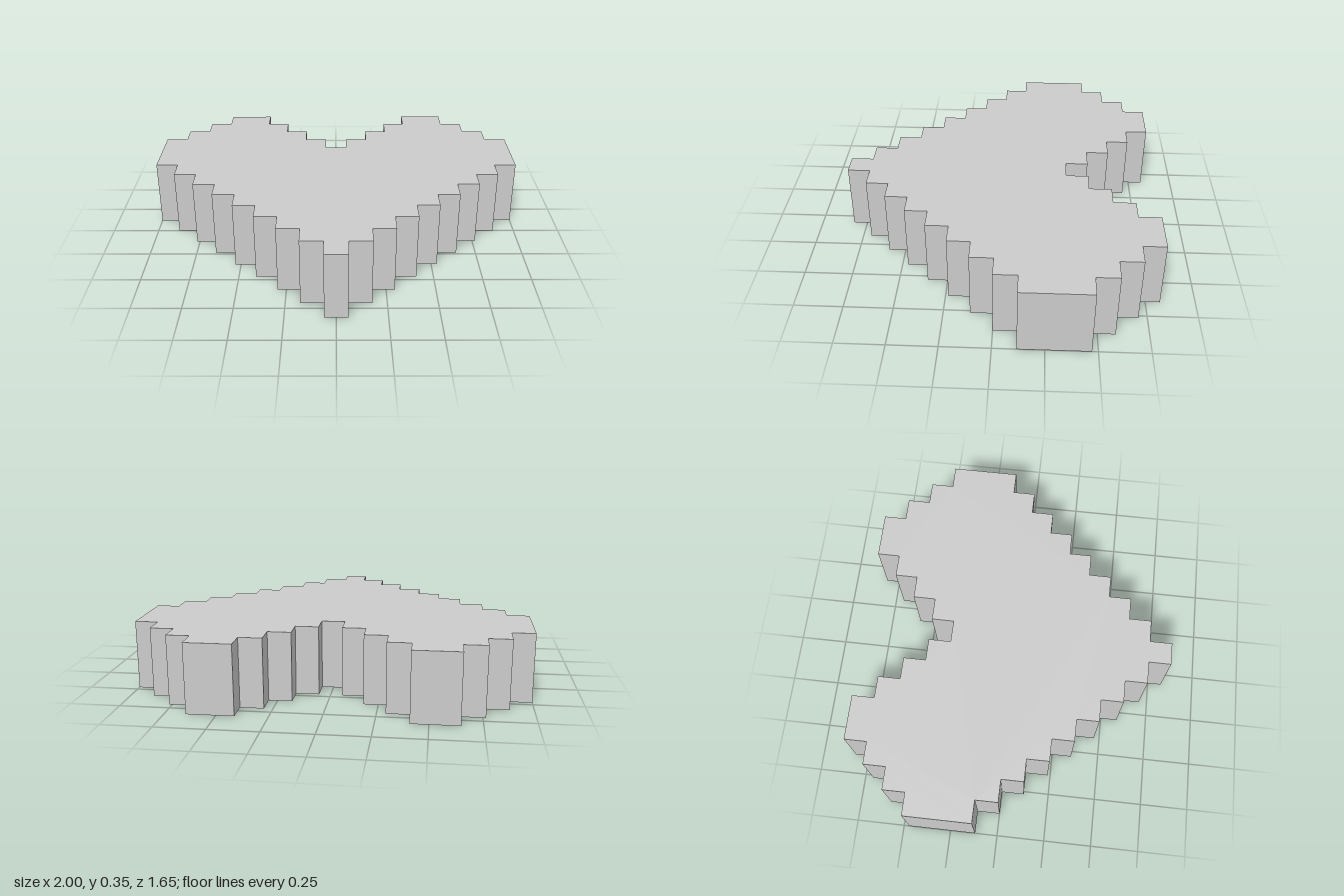
import * as THREE from 'three';

const U = 2 / 17; // size of one pixel step

// Right half of the stepped heart outline, in pixel steps, from the notch to the tip
function halfOutline() {
  const pts = [[0.5, -3]];
  for (let i = 0; i < 4; i++) pts.push([0.5 + i, -4 - i], [(i < 3 ? 1.5 : 2.5) + i, -4 - i]); // inner lobe stairs
  for (let i = 0; i < 3; i++) pts.push([5.5 + i, -6 + i], [6.5 + i, -6 + i]); // outer lobe stairs
  for (let i = 0; i < 8; i++) pts.push([8.5 - i, -1 + i], [7.5 - i, -1 + i]); // lower stairs
  pts.push([0.5, 7]);
  return pts;
}

export function createModel() {
  const group = new THREE.Group();
  group.name = 'pixelHeart';

  // Mirror the half outline and close it into one shape
  const half = halfOutline();
  const mirrored = half.map(([x, z]) => [-x, z]).reverse();
  const shape = new THREE.Shape([...half, ...mirrored].map(([x, z]) => new THREE.Vector2(x * U, -z * U)));

  // Slab, three steps thick, laid flat on the ground
  const geometry = new THREE.ExtrudeGeometry(shape, { depth: 3 * U, bevelEnabled: false });
  geometry.rotateX(-Math.PI / 2);
  const heart = new THREE.Mesh(geometry, new THREE.MeshStandardMaterial({ color: 0xcccccc, flatShading: true }));
  heart.name = 'heartSlab';
  group.add(heart);
  return group;
}
